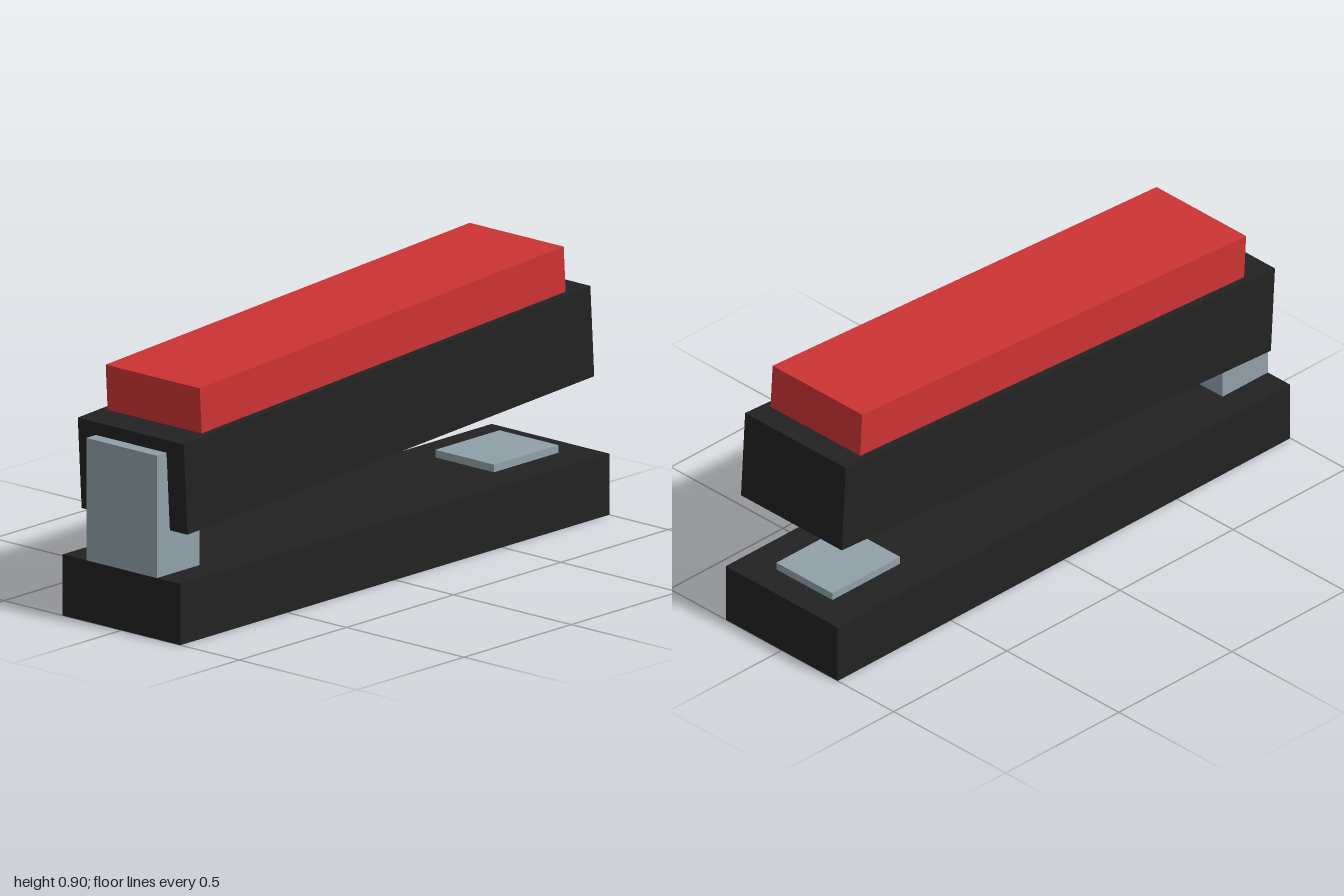
import * as THREE from 'three';

const material = (color) => new THREE.MeshStandardMaterial({ color });

function box(name, size, position, mat, tilt = 0) {
  const mesh = new THREE.Mesh(new THREE.BoxGeometry(...size), mat);
  mesh.name = name;
  mesh.position.set(...position);
  mesh.rotation.z = tilt;
  return mesh;
}

export function createModel() {
  const dark = material(0x222222);
  const steel = material(0x90a0a8);
  const red = material(0xcc3333);
  const tilt = 0.06; // arm opens towards +x

  const model = new THREE.Group();
  model.name = 'stapler';
  model.add(
    // Base with its anvil plate and hinge post
    box('base', [2, 0.2, 0.5], [0, 0.1, 0], dark),
    box('anvilPlate', [0.3, 0.025, 0.25], [0.75, 0.2125, 0], steel),
    box('hingePost', [0.2, 0.4, 0.3], [-0.9, 0.4, 0], steel),
    // Tilted arm and the grip sunk into its top
    box('arm', [1.9, 0.3, 0.45], [0, 0.55, 0], dark, tilt),
    box('topGrip', [1.7, 0.2, 0.4], [0, 0.75, 0], red, tilt),
  );
  return model;
}
